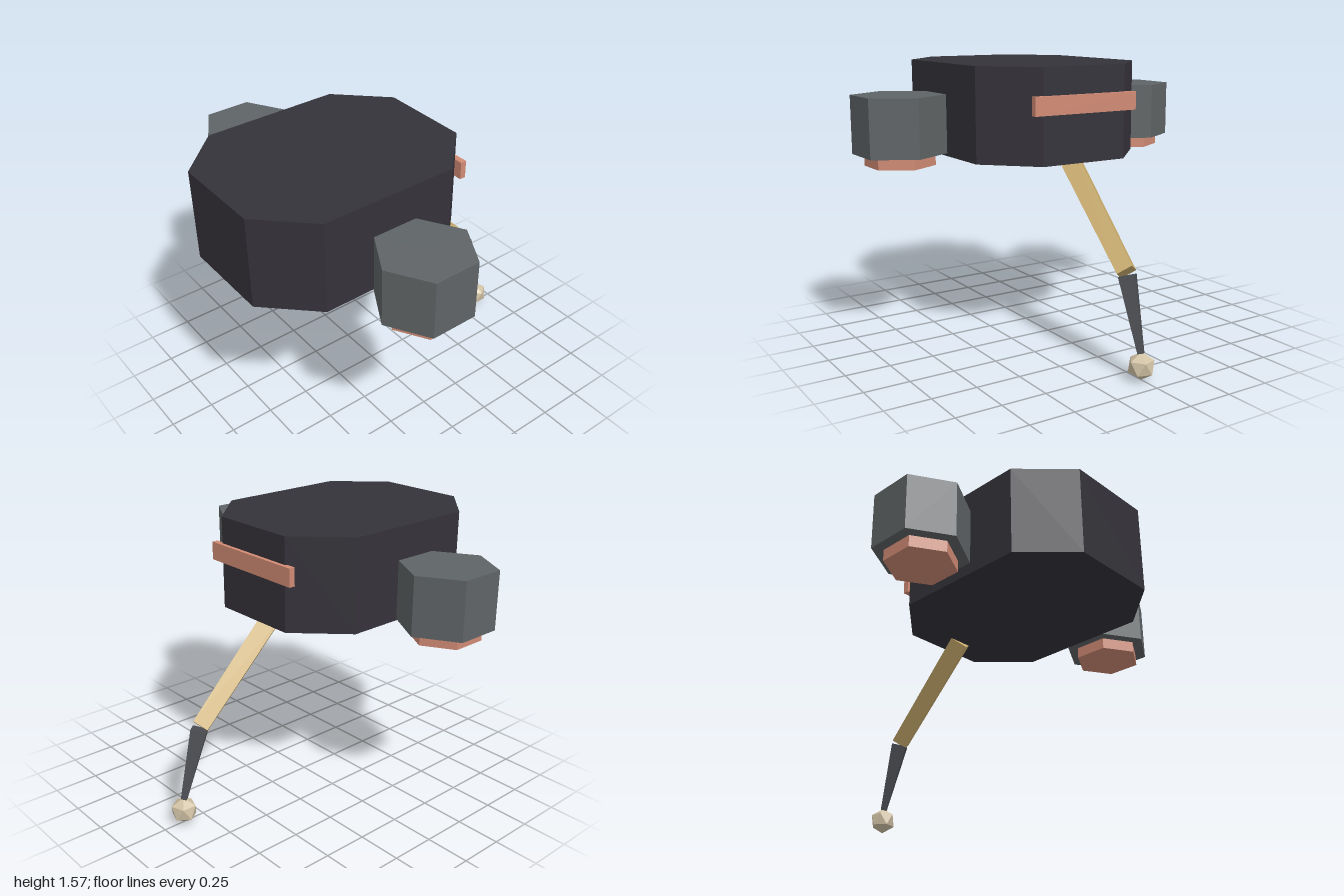
import * as THREE from 'three';

const flat = (name, color) => {
  const m = new THREE.MeshStandardMaterial({ color });
  m.name = name;
  m.flatShading = true;
  return m;
};

export function createModel() {
  const group = new THREE.Group();
  const charcoal = flat('charcoal', 0x35333a);
  const grey = flat('grey', 0x5f6466);
  const copper = flat('copper', 0xd18b75);
  const gold = flat('gold', 0xcaad6d);
  const steel = flat('steel', 0x4c4e53);
  const sand = flat('sand', 0xd2c3a6);

  const add = (name, geometry, material, x = 0, y = 0, z = 0, parent = group) => {
    const mesh = new THREE.Mesh(geometry, material);
    mesh.name = name;
    mesh.position.set(x, y, z);
    parent.add(mesh);
    return mesh;
  };

  // Tapered four-sided bar between two points in the middle plane
  const bar = (name, a, b, ra, rb, material) => {
    const dir = b.clone().sub(a);
    const mid = a.clone().add(b).multiplyScalar(0.5);
    const mesh = add(name, new THREE.CylinderGeometry(rb, ra, dir.length(), 4), material, mid.x, mid.y, mid.z);
    mesh.quaternion.setFromUnitVectors(new THREE.Vector3(0, 1, 0), dir.normalize());
  };

  // Long octagonal body, extruded upwards
  const w = 0.515, c = 0.26, back = -0.36, front = 0.935;
  const outline = new THREE.Shape([
    [c, -front], [w, -front + c], [w, -back - c], [c, -back],
    [-c, -back], [-w, -back - c], [-w, -front + c], [-c, -front],
  ].map(([x, y]) => new THREE.Vector2(x, y)));
  const bodyGeo = new THREE.ExtrudeGeometry(outline, { depth: 0.515, bevelEnabled: false });
  bodyGeo.rotateX(-Math.PI / 2);
  add('body', bodyGeo, charcoal, 0, 1.053, 0);

  // Strip across the back
  add('backStrip', new THREE.BoxGeometry(0.645, 0.1, 0.035), copper, 0, 1.37, -0.365);

  // Hexagonal side pods with nozzles underneath
  for (const [side, s] of [['left', 1], ['right', -1]]) {
    const pod = new THREE.Group();
    pod.name = side + 'Pod';
    pod.position.set(s * 0.777, 0, 0.29);
    group.add(pod);
    add(side + 'PodShell', new THREE.CylinderGeometry(0.258, 0.258, 0.322, 6), grey, 0, 1.244, 0, pod);
    add(side + 'Nozzle', new THREE.CylinderGeometry(0.194, 0.194, 0.075, 6), copper, 0, 1.056, 0, pod);
  }

  // Two-part leg with a faceted ball foot
  const hip = new THREE.Vector3(0, 1.052, -0.222);
  const knee = new THREE.Vector3(0, 0.539, -0.738);
  bar('upperLeg', hip, knee, 0.073, 0.063, gold);
  bar('lowerLeg', new THREE.Vector3(0, 0.523, -0.745), new THREE.Vector3(0, 0.14, -0.868), 0.061, 0.023, steel);
  const foot = add('foot', new THREE.IcosahedronGeometry(0.075, 0), sand, 0, 0.075, -0.872);
  foot.rotation.z = -Math.atan(2 / (1 + Math.sqrt(5)));

  return group;
}
